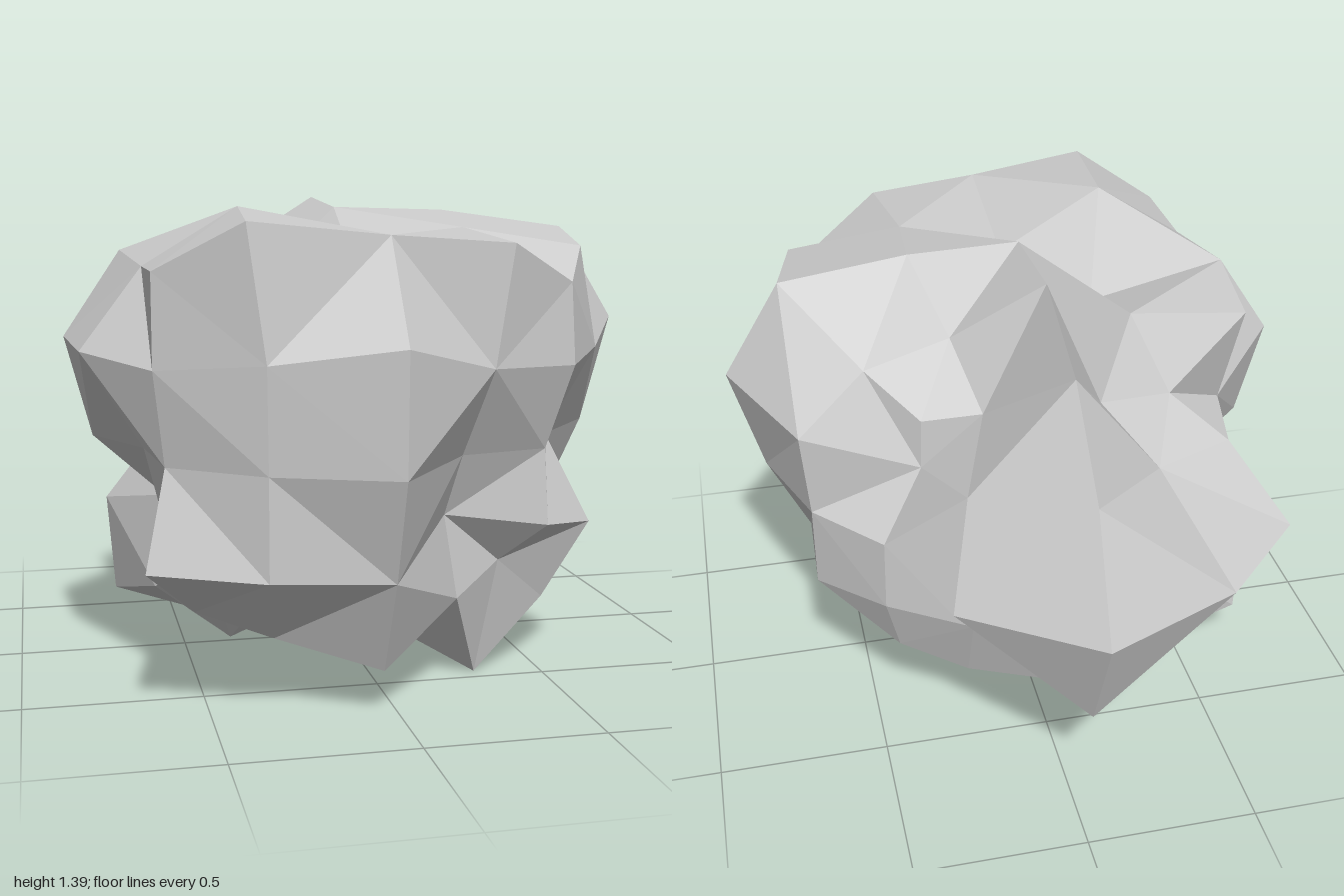
import * as THREE from 'three';

// Reach of the rock in each direction of a rounded 4x4x4 cube grid.
// One block per height (bottom to top), rows run back to front, columns -x to +x; 0 = inside.
const REACH = [
  [[.38, .51, .61, .55, .47], [.655, .785, .60, .57, .48], [.555, .76, .60, .785, .50],
    [.42, .50, .58, .81, .575], [.49, .565, .66, .495, .40]],
  [[.40, .69, .957, .64, .51], [.68, 0, 0, 0, .69], [.52, 0, 0, 0, .68],
    [.55, 0, 0, 0, .715], [.63, .76, .79, .49, .51]],
  [[.663, .93, 1.1, .86, .505], [.50, 0, 0, 0, .69], [.73, 0, 0, 0, .80],
    [.60, 0, 0, 0, .59], [.57, .76, .89, .56, .50]],
  [[.51, .62, .935, .68, .37], [.57, 0, 0, 0, .71], [.807, 0, 0, 0, .89],
    [.775, 0, 0, 0, .72], [.60, .77, .90, .68, .56]],
  [[.37, .34, .68, .37, .365], [.61, .63, .82, .60, .508], [.64, .53, .785, .775, .715],
    [.60, .79, .61, .72, .657], [.60, .75, .707, .68, .55]],
];
const CENTRE = new THREE.Vector3(-0.043, 0.69, 0.1);
const FLATTEN = 0.85;

// Moves a cube grid point (-2..2 on each axis) out to the rock's surface
function toSurface(p) {
  const g = p.toArray().map(Math.round);
  const onEdge = g.filter((v) => Math.abs(v) === 2).length > 1;
  const half = onEdge ? 0.504 : 0.43;
  const reach = REACH[g[1] + 2][g[2] + 2][g[0] + 2];
  const [x, y, z] = g.map((v) => Math.sign(v) * (Math.abs(v) === 2 ? 1 : half) * reach);
  return p.set(x, y * FLATTEN, z).add(CENTRE);
}

function rockGeometry() {
  const geometry = new THREE.BoxGeometry(4, 4, 4, 4, 4, 4);
  const pos = geometry.attributes.position;
  const points = [];
  for (let i = 0; i < pos.count; i++) {
    const p = toSurface(new THREE.Vector3().fromBufferAttribute(pos, i));
    points.push(p);
    pos.setXYZ(i, p.x, p.y, p.z);
  }
  // Split every four-sided cell along its shorter diagonal
  const old = geometry.index.array;
  const index = [];
  for (let i = 0; i < old.length; i += 6) {
    const a = old[i], b = old[i + 1], d = old[i + 2], c = old[i + 4];
    if (points[a].distanceTo(points[c]) < points[b].distanceTo(points[d])) index.push(a, b, c, a, c, d);
    else index.push(a, b, d, b, c, d);
  }
  geometry.setIndex(index);
  geometry.clearGroups();
  geometry.computeVertexNormals();
  return geometry;
}

export function createModel() {
  const group = new THREE.Group();
  group.name = 'boulder';
  const material = new THREE.MeshStandardMaterial({ color: 0xcccccc, flatShading: true });
  const rock = new THREE.Mesh(rockGeometry(), material);
  rock.name = 'rock';
  group.add(rock);
  return group;
}
